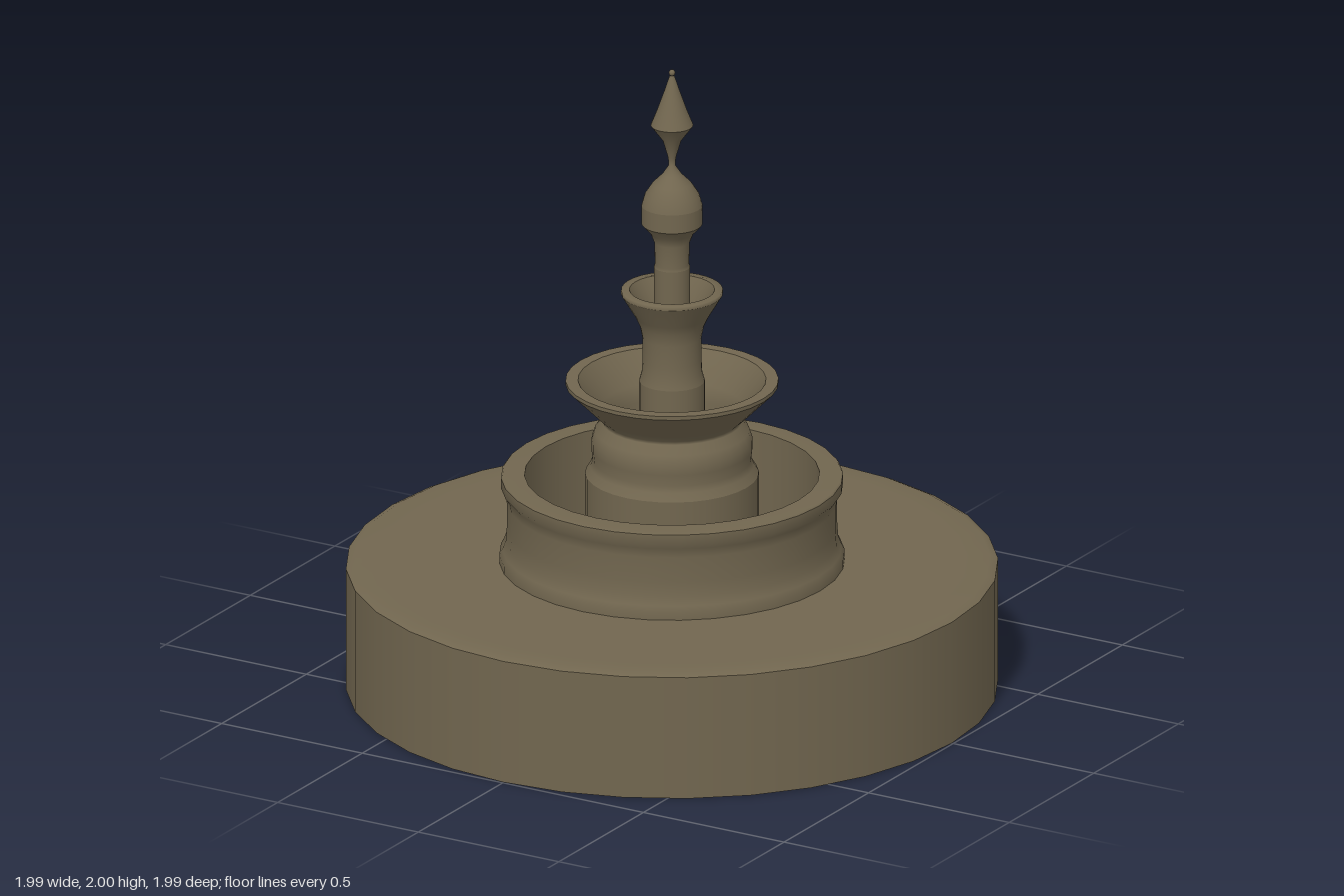
import * as THREE from 'three';
import { mergeGeometries } from 'three/addons/utils/BufferGeometryUtils.js';

// Each strip of [radius, height] points is smooth; strips meet in sharp edges.
function turned(name, material, strips) {
  const parts = strips.map((strip) =>
    new THREE.LatheGeometry(strip.map(([r, y]) => new THREE.Vector2(r, y)), 32));
  const mesh = new THREE.Mesh(mergeGeometries(parts), material);
  mesh.name = name;
  return mesh;
}

export function createModel() {
  const group = new THREE.Group();
  group.name = 'fountain';
  const stone = new THREE.MeshStandardMaterial({ color: 0x71664f });
  stone.name = 'stone';

  // Broad drum with a slightly bevelled top edge
  group.add(turned('base', stone, [
    [[0, 0], [0.995, 0]],
    [[0.995, 0], [0.995, 0.393]],
    [[0.995, 0.393], [0.97, 0.405], [0.9, 0.405], [0, 0.405]],
  ]));

  // Lowest basin, open at the top
  group.add(turned('lowerBasin', stone, [
    [[0.527, 0.4], [0.527, 0.43], [0.518, 0.447], [0.507, 0.475], [0.504, 0.52],
      [0.504, 0.6], [0.509, 0.63], [0.522, 0.648], [0.522, 0.68]],
    [[0.522, 0.68], [0.517, 0.686], [0.45, 0.686]],
    [[0.45, 0.686], [0.45, 0.4]],
  ]));

  // Wide pedestal flaring into the middle bowl
  group.add(turned('middleBowl', stone, [
    [[0.265, 0.4], [0.265, 0.69]],
    [[0.265, 0.69], [0.25, 0.715], [0.242, 0.735], [0.246, 0.77], [0.246, 0.8],
      [0.236, 0.83], [0.213, 0.858], [0.213, 0.868], [0.236, 0.89], [0.325, 0.98]],
    [[0.325, 0.98], [0.325, 0.992]],
    [[0.325, 0.992], [0.287, 0.992]],
    [[0.287, 0.992], [0.22, 0.9], [0.205, 0.85], [0.2, 0.72]],
    [[0.2, 0.72], [0, 0.72]],
  ]));

  // Slim pedestal flaring into the upper bowl
  group.add(turned('upperBowl', stone, [
    [[0.1, 0.72], [0.1, 0.99]],
    [[0.1, 0.99], [0.092, 1.02], [0.09, 1.06], [0.09, 1.13], [0.098, 1.17],
      [0.112, 1.2], [0.155, 1.272]],
    [[0.155, 1.272], [0.155, 1.285], [0.13, 1.285]],
    [[0.13, 1.285], [0.085, 1.2], [0.078, 1.15]],
    [[0.078, 1.15], [0, 1.15]],
  ]));

  // Spout stem
  group.add(turned('stem', stone, [
    [[0.055, 1.15], [0.055, 1.36]],
    [[0.055, 1.36], [0.052, 1.37], [0.054, 1.44], [0.066, 1.47], [0.093, 1.5]],
  ]));

  // Onion bulb, waist and pointed tip
  group.add(turned('finial', stone, [
    [[0.093, 1.5], [0.093, 1.56]],
    [[0.093, 1.56], [0.083, 1.595], [0.06, 1.63], [0.03, 1.66], [0.01, 1.69],
      [0.012, 1.715], [0.028, 1.77], [0.065, 1.82]],
    [[0.065, 1.82], [0.045, 1.87], [0.024, 1.93], [0.007, 1.982]],
  ]));
  const bead = new THREE.Mesh(new THREE.SphereGeometry(0.01, 12, 8), stone);
  bead.name = 'tipBead';
  bead.position.y = 1.99;
  group.add(bead);

  return group;
}
